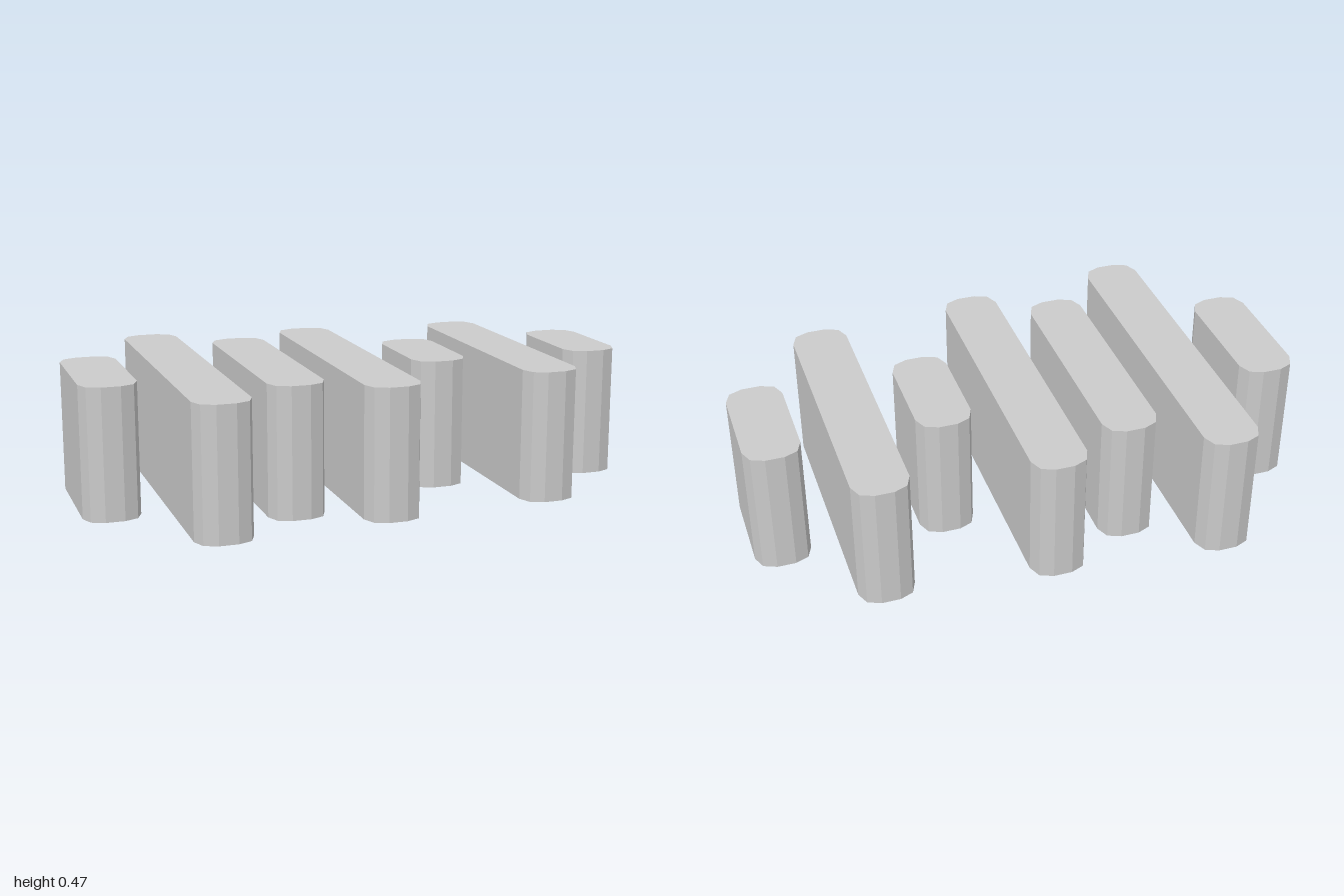
import * as THREE from 'three';

const HEIGHT = 0.465;
const HALF_WIDTH = 0.1;
const RADIUS = 0.0667;
// half length of each bar along z, from the model's right to its left
const HALF_LENGTHS = [0.262, 0.623, 0.442, 0.567, 0.219, 0.514, 0.219];

// upright bar with rounded corners of two flat facets each
function barGeometry(halfLength) {
  const points = [];
  const corners = [[1, 1], [-1, 1], [-1, -1], [1, -1]];
  corners.forEach(([sx, sy], c) => {
    for (let i = 0; i <= 2; i++) {
      const a = (c + i / 2) * Math.PI / 2;
      points.push(new THREE.Vector2(
        sx * (HALF_WIDTH - RADIUS) + RADIUS * Math.cos(a),
        sy * (halfLength - RADIUS) + RADIUS * Math.sin(a)
      ));
    }
  });
  const geometry = new THREE.ExtrudeGeometry(new THREE.Shape(points), { depth: HEIGHT, bevelEnabled: false });
  return geometry.rotateX(-Math.PI / 2);
}

export function createModel() {
  const model = new THREE.Group();
  model.name = 'barRow';
  const material = new THREE.MeshStandardMaterial({ color: 0xcccccc, flatShading: true });

  // seven evenly spaced bars
  HALF_LENGTHS.forEach((halfLength, i) => {
    const bar = new THREE.Mesh(barGeometry(halfLength), material);
    bar.name = `bar${i + 1}`;
    bar.position.x = (i - 3) * 0.3;
    model.add(bar);
  });
  return model;
}
